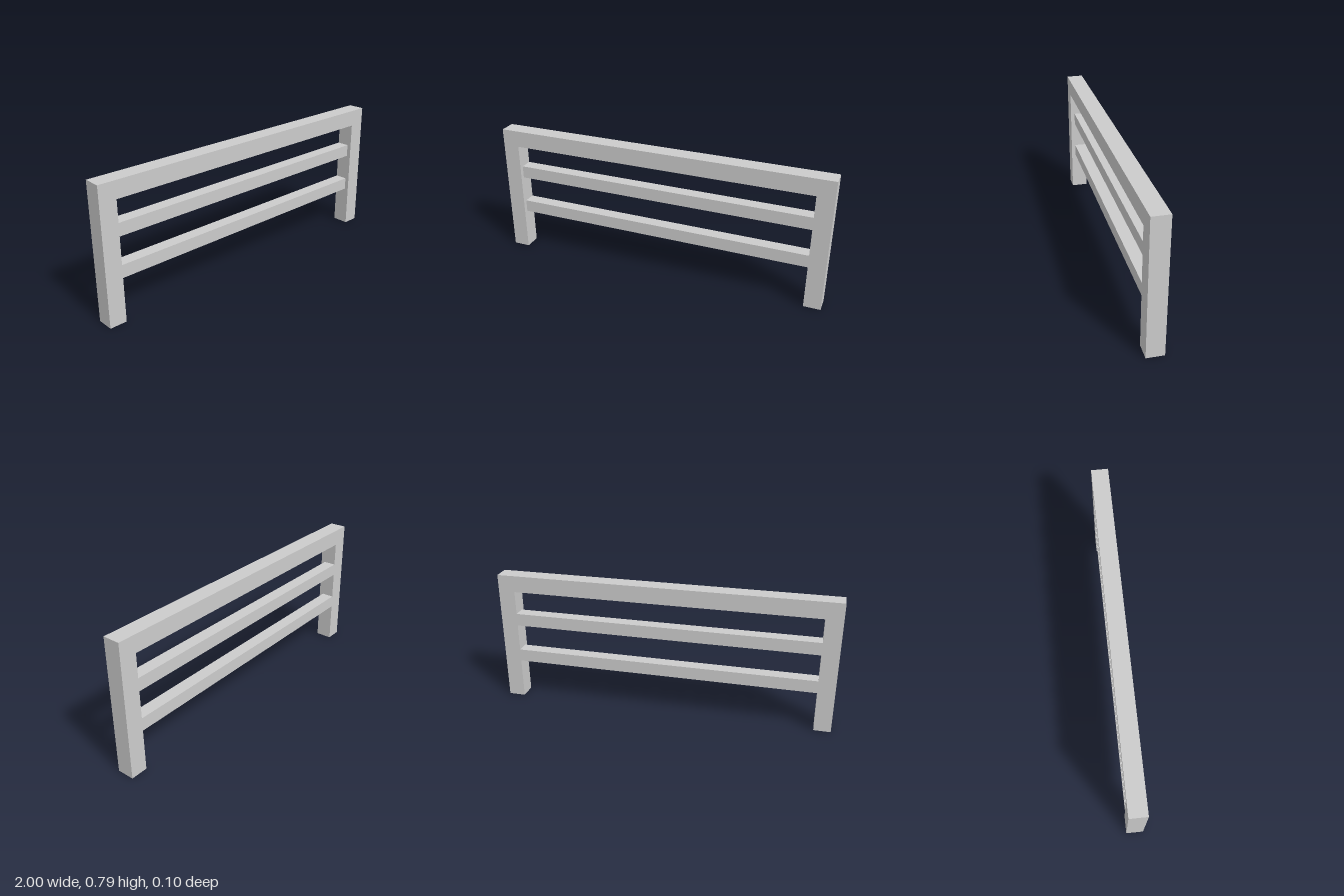
import * as THREE from 'three';

const H = 0.793, T = 0.099, DEPTH = 0.1, RAIL = 0.075;

// Arch of two legs and a top beam in one piece, hollow and open under the legs
function frameGeometry() {
  const outline = [[-1, 0], [-1 + T, 0], [-1 + T, H - T], [1 - T, H - T], [1 - T, 0], [1, 0], [1, H], [-1, H]];
  const shape = new THREE.Shape(outline.map(([x, y]) => new THREE.Vector2(x, y)));
  const solid = new THREE.ExtrudeGeometry(shape, { depth: DEPTH, bevelEnabled: false }).translate(0, 0, -DEPTH / 2);
  const pos = solid.attributes.position.array;
  const kept = [];
  // Leave out the foot caps: triangles lying wholly on the ground
  for (let i = 0; i < pos.length; i += 9) {
    const onGround = [1, 4, 7].every((k) => Math.abs(pos[i + k]) < 1e-5);
    if (!onGround) kept.push(...pos.slice(i, i + 9));
  }
  const geometry = new THREE.BufferGeometry();
  geometry.setAttribute('position', new THREE.Float32BufferAttribute(kept, 3));
  geometry.computeVertexNormals();
  return geometry;
}

export function createModel() {
  const group = new THREE.Group();
  group.name = 'railFrame';
  const material = new THREE.MeshStandardMaterial({ color: 0xcccccc, flatShading: true, side: THREE.DoubleSide });

  const frame = new THREE.Mesh(frameGeometry(), material);
  frame.name = 'legsAndTopBeam';
  group.add(frame);

  // Thinner cross rails, flush with the back of the frame
  const railGeometry = new THREE.BoxGeometry(2 * (1 - T), RAIL, RAIL);
  [['lowerRail', 0.281], ['upperRail', 0.517]].forEach(([name, y]) => {
    const rail = new THREE.Mesh(railGeometry, material);
    rail.name = name;
    rail.position.set(0, y, (RAIL - DEPTH) / 2);
    group.add(rail);
  });
  return group;
}
